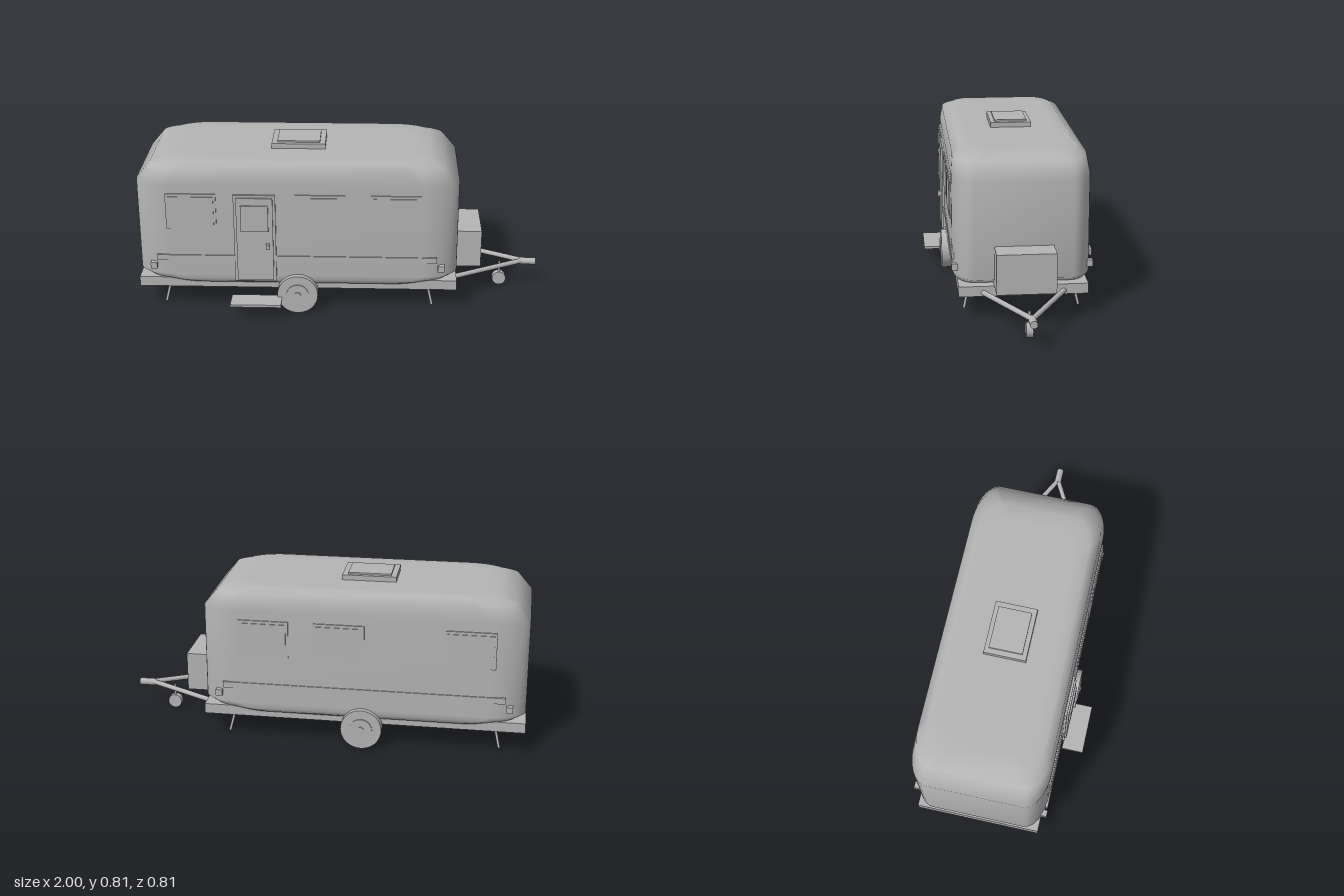
import * as THREE from 'three';

const CX = -0.21, CZ = -0.0375; // middle of the caravan body

export function createModel() {
  const group = new THREE.Group();
  const grey = new THREE.MeshStandardMaterial({ color: 0xb4b4b4 });
  grey.name = 'plain grey';

  const add = (name, geometry) => {
    const mesh = new THREE.Mesh(geometry, grey);
    mesh.name = name;
    group.add(mesh);
    return mesh;
  };
  // Box given by its limits on each axis
  const box = (name, x0, x1, y0, y1, z0, z1) => {
    const mesh = add(name, new THREE.BoxGeometry(x1 - x0, y1 - y0, Math.abs(z1 - z0)));
    mesh.position.set((x0 + x1) / 2, (y0 + y1) / 2, (z0 + z1) / 2);
    return mesh;
  };
  // Round bar between two points
  const bar = (name, from, to, radius, sides = 24) => {
    const a = new THREE.Vector3(...from), b = new THREE.Vector3(...to);
    const mesh = add(name, new THREE.CylinderGeometry(radius, radius, a.distanceTo(b), sides));
    mesh.position.copy(a).add(b).multiplyScalar(0.5);
    mesh.quaternion.setFromUnitVectors(new THREE.Vector3(0, 1, 0), b.sub(a).normalize());
    return mesh;
  };

  // Body shell: rounded plan outlines stacked upwards
  add('body', bodyGeometry());

  // Chassis, front locker and roof vent
  box('chassis', -1, 0.577, 0.114, 0.164, -0.345, 0.27);
  box('frontLocker', 0.5, 0.705, 0.164, 0.358, -0.178, 0.102);
  box('roofVent', -0.345, -0.08, 0.76, 0.802, -0.14, 0.065);
  box('roofVentLid', -0.318, -0.107, 0.8, 0.81, -0.12, 0.043);

  // Windows, waist stripes and marker lights on both long sides
  for (const side of [1, -1]) {
    const at = (d) => CZ + side * d;
    for (const [x0, x1] of [[-0.847, -0.602], [-0.22, 0.027], [0.148, 0.392]]) {
      box('windowFrame', x0, x1, 0.443, 0.626, at(0.322), at(0.336));
      box('windowPane', x0 + 0.012, x1 - 0.012, 0.455, 0.612, at(0.335), at(0.34));
    }
    box('stripe', -0.9, 0.475, 0.27, 0.3, at(0.322), at(0.335));
    for (const x of [-0.92, 0.496])
      box('markerLight', x - 0.016, x + 0.016, 0.225, 0.256, at(0.305), at(0.337));
  }

  // Entrance door and folding step
  box('doorFrame', -0.517, -0.313, 0.166, 0.625, 0.28, 0.303);
  box('door', -0.504, -0.326, 0.175, 0.612, 0.29, 0.311);
  box('doorWindow', -0.482, -0.348, 0.44, 0.575, 0.305, 0.319);
  box('doorHandle', -0.36, -0.344, 0.347, 0.376, 0.308, 0.328);
  box('step', -0.537, -0.287, 0.072, 0.085, 0.297, 0.406);

  // Road wheels with raised hubs, and the axle
  bar('axle', [CX, 0.105, CZ - 0.33], [CX, 0.105, CZ + 0.33], 0.011);
  for (const side of [1, -1]) {
    const at = (d) => CZ + side * d;
    bar('wheel', [CX, 0.1, at(0.302)], [CX, 0.1, at(0.357)], 0.1, 40);
    bar('wheelDisc', [CX, 0.1, at(0.35)], [CX, 0.1, at(0.362)], 0.055, 32);
    bar('wheelHub', [CX, 0.1, at(0.36)], [CX, 0.1, at(0.367)], 0.016, 20);
  }

  // Splayed corner steadies
  for (const side of [1, -1])
    for (const end of [1, -1])
      bar('steadyLeg',
        [CX + end * 0.643, 0.12, CZ + side * 0.252],
        [CX + end * 0.668, 0.015, CZ + side * 0.277], 0.0065, 12);

  // Tow frame, coupling and jockey wheel
  for (const side of [1, -1])
    bar('towBar', [0.55, 0.131, CZ + side * 0.203], [0.935, 0.133, CZ], 0.0125);
  bar('coupling', [0.92, 0.13, CZ], [1, 0.13, CZ], 0.018);
  bar('jockeyPost', [0.815, 0.035, CZ], [0.815, 0.125, CZ], 0.0065, 16);
  bar('jockeyWheel', [0.815, 0.035, CZ - 0.016], [0.815, 0.035, CZ + 0.016], 0.035, 32);

  return group;
}

function bodyGeometry() {
  // Height, inset along x, inset along z
  const rings = [
    [0.148, 0.135, 0.012], [0.168, 0.045, 0.004], [0.195, 0, 0],
    [0.668, 0, 0], [0.75, 0.068, 0.01], [0.776, 0.14, 0.052], [0.777, 0.22, 0.11],
  ];
  const steps = 10, count = 4 * (steps + 1);
  const rx = 0.18, rz = 0.1;
  const pos = [], index = [];
  for (const [y, dx, dz] of rings) {
    const hx = 0.788 - dx, hz = 0.33 - dz;
    for (let q = 0; q < 4; q++) {
      const sx = q === 0 || q === 3 ? 1 : -1, sz = q < 2 ? 1 : -1;
      for (let i = 0; i <= steps; i++) {
        const a = (q + i / steps) * Math.PI / 2;
        pos.push(CX + sx * (hx - rx) + rx * Math.cos(a), y, CZ + sz * (hz - rz) + rz * Math.sin(a));
      }
    }
  }
  for (let r = 0; r < rings.length - 1; r++)
    for (let i = 0; i < count; i++) {
      const j = (i + 1) % count;
      const a = r * count + i, b = r * count + j;
      index.push(a, a + count, b, b, a + count, b + count);
    }
  // Close the floor and the roof
  const floor = pos.length / 3, roof = floor + 1, last = (rings.length - 1) * count;
  pos.push(CX, rings[0][0], CZ, CX, 0.777, CZ);
  for (let i = 0; i < count; i++) {
    const j = (i + 1) % count;
    index.push(floor, i, j, roof, last + j, last + i);
  }
  const geometry = new THREE.BufferGeometry();
  geometry.setAttribute('position', new THREE.Float32BufferAttribute(pos, 3));
  geometry.setIndex(index);
  geometry.computeVertexNormals();
  return geometry;
}
